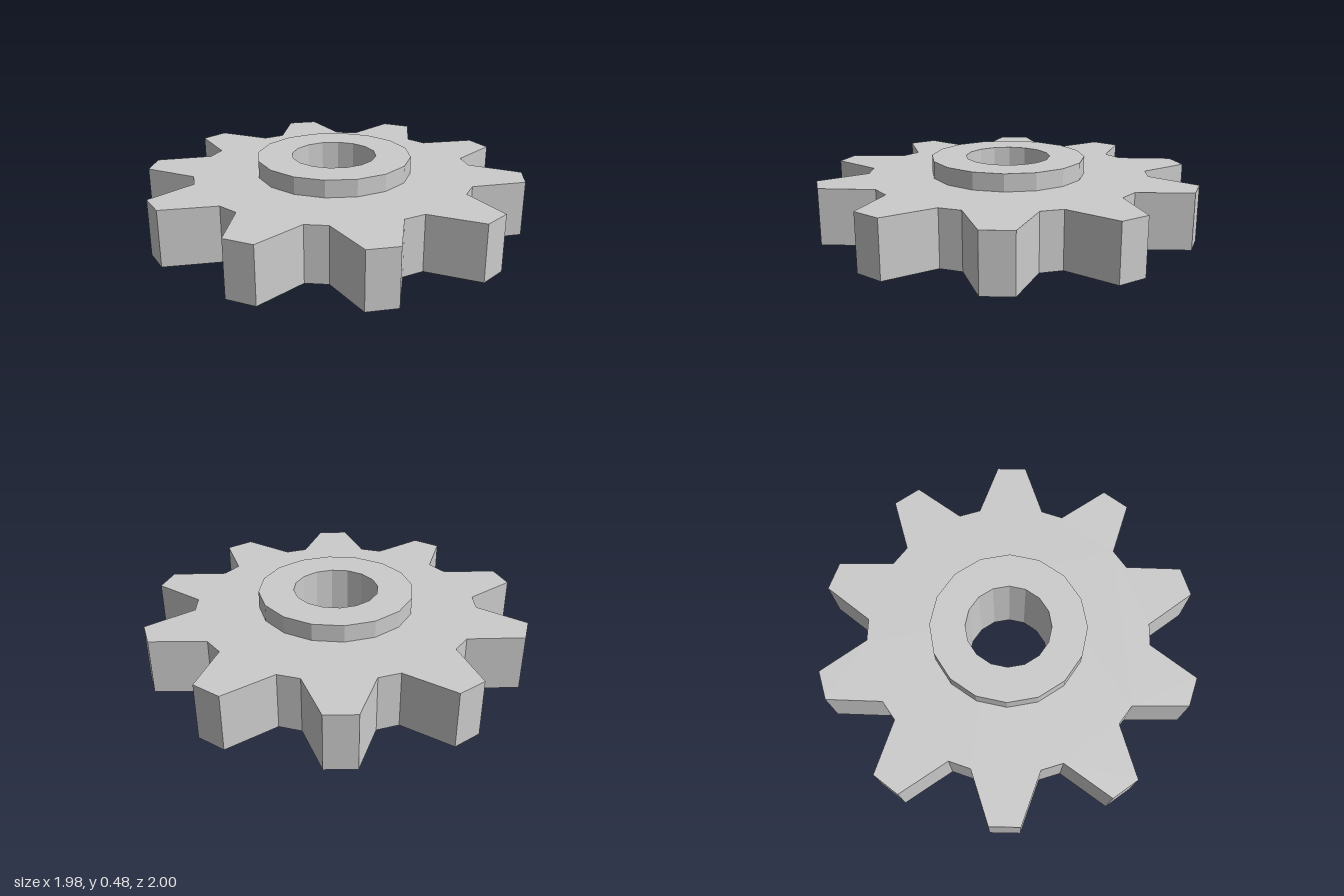
import * as THREE from 'three';

const material = new THREE.MeshStandardMaterial({ color: 0xcccccc, flatShading: true });

// Closed ring of points; radiusAt gives the radius of each corner, starting at the back
function ring(count, radiusAt) {
  return Array.from({ length: count }, (_, i) => {
    const a = (i / count) * Math.PI * 2;
    return new THREE.Vector2(Math.sin(a) * radiusAt(i), Math.cos(a) * radiusAt(i));
  });
}

// Flat plate with a sixteen-sided hole, spanning y0 to y1
function plate(name, outline, holeRadius, y0, y1) {
  const shape = new THREE.Shape(outline);
  // The hole winds against the outline so its walls face inward
  shape.holes.push(new THREE.Path(ring(16, () => holeRadius).reverse()));
  const geometry = new THREE.ExtrudeGeometry(shape, { depth: y1 - y0, bevelEnabled: false });
  geometry.rotateX(-Math.PI / 2).translate(0, y0, 0);
  const mesh = new THREE.Mesh(geometry, material);
  mesh.name = name;
  return mesh;
}

export function createModel() {
  const group = new THREE.Group();
  group.name = 'sprocket';

  // Ten teeth: two tip corners, then two root corners each
  const teeth = ring(40, (i) => (i % 4 < 2 ? 1 : 0.742));
  // The inner edge of the toothed wheel is buried inside the hub
  group.add(plate('toothedWheel', teeth, 0.32, 0.092, 0.385));

  // Sixteen-sided hub with the axle bore, standing proud on both faces
  group.add(plate('hub', ring(16, () => 0.407), 0.223, 0, 0.476));

  return group;
}
